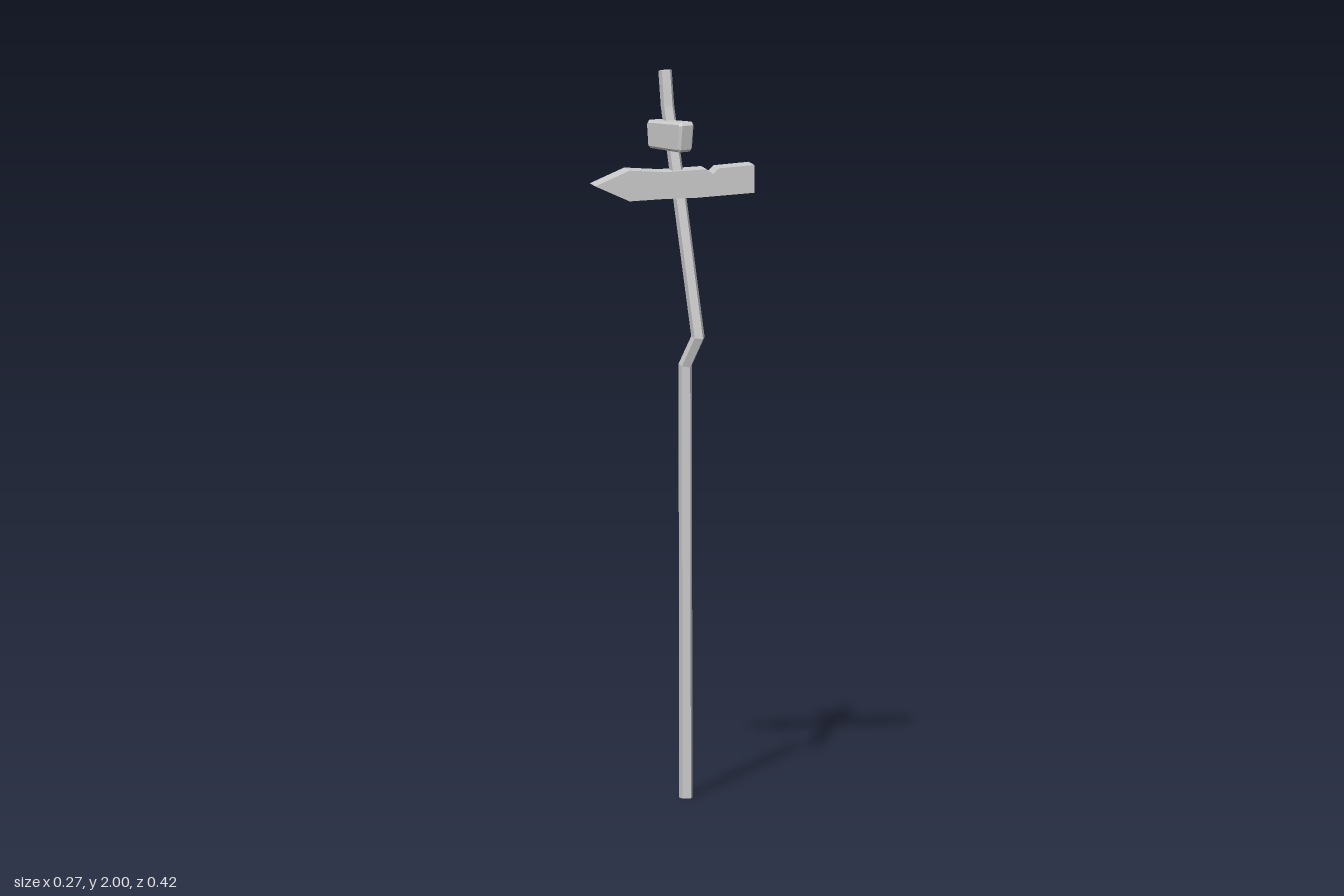
import * as THREE from 'three';

const material = new THREE.MeshStandardMaterial({ color: 0xcccccc, flatShading: true, roughness: 0.9 });

// Outline extruded to a given thickness, centred on its own z
function board(name, points, thickness, bevel = 0) {
  const shape = new THREE.Shape(points.map(([x, y]) => new THREE.Vector2(x, y)));
  const geometry = new THREE.ExtrudeGeometry(shape, {
    depth: thickness - 2 * bevel,
    bevelEnabled: bevel > 0,
    bevelThickness: bevel,
    bevelSize: bevel,
    bevelOffset: -bevel,
    bevelSegments: 1,
  });
  geometry.translate(0, 0, bevel - thickness / 2);
  const mesh = new THREE.Mesh(geometry, material);
  mesh.name = name;
  return mesh;
}

// Five-sided pole whose rings follow a crooked path of [x, y, z, tilt]
function crookedPole(path, radius) {
  const n = path.length - 1;
  const geometry = new THREE.CylinderGeometry(radius, radius, n, 5, n, false, Math.PI / 2);
  const position = geometry.attributes.position;
  for (let i = 0; i < position.count; i++) {
    const [x, y, z, tilt] = path[Math.round(position.getY(i) + n / 2)];
    const across = position.getX(i);
    position.setXYZ(i, x + across * Math.cos(tilt), y + across * Math.sin(tilt), z + position.getZ(i));
  }
  geometry.computeVertexNormals();
  const mesh = new THREE.Mesh(geometry, material);
  mesh.name = 'pole';
  return mesh;
}

export function createModel() {
  const group = new THREE.Group();
  group.name = 'signpost';

  // Bent pole
  group.add(crookedPole([
    [0.053, 0, -0.003, 0],
    [0.053, 1.195, -0.001, -0.25],
    [0.092, 1.275, -0.012, -0.15],
    [0.01, 1.7, -0.012, 0.19],
    [-0.03, 1.9, -0.012, 0.14],
    [-0.035, 1.95, -0.012, 0.12],
    [-0.04, 1.998, -0.012, 0.1],
  ], 0.0195));

  // Arrow board with a chipped top edge
  const arrow = board('arrowBoard', [
    [-0.224, 1.661], [-0.06, 1.653], [0.03, 1.653], [0.127, 1.65],
    [0.224, 1.695],
    [0.127, 1.735], [0.03, 1.727], [-0.09, 1.731],
    [-0.108, 1.717], [-0.125, 1.732], [-0.224, 1.738],
  ], 0.061);
  arrow.rotation.y = -2.073;
  group.add(arrow);

  // Small plank with worn corners and bevelled edges
  const plank = board('smallPlank', [
    [-0.076, 1.781], [0.072, 1.787], [0.079, 1.794],
    [0.088, 1.862], [0.081, 1.871], [-0.082, 1.858],
    [-0.089, 1.85], [-0.082, 1.787],
  ], 0.047, 0.007);
  plank.rotation.y = -0.18;
  plank.position.z = 0.006;
  group.add(plank);

  return group;
}
